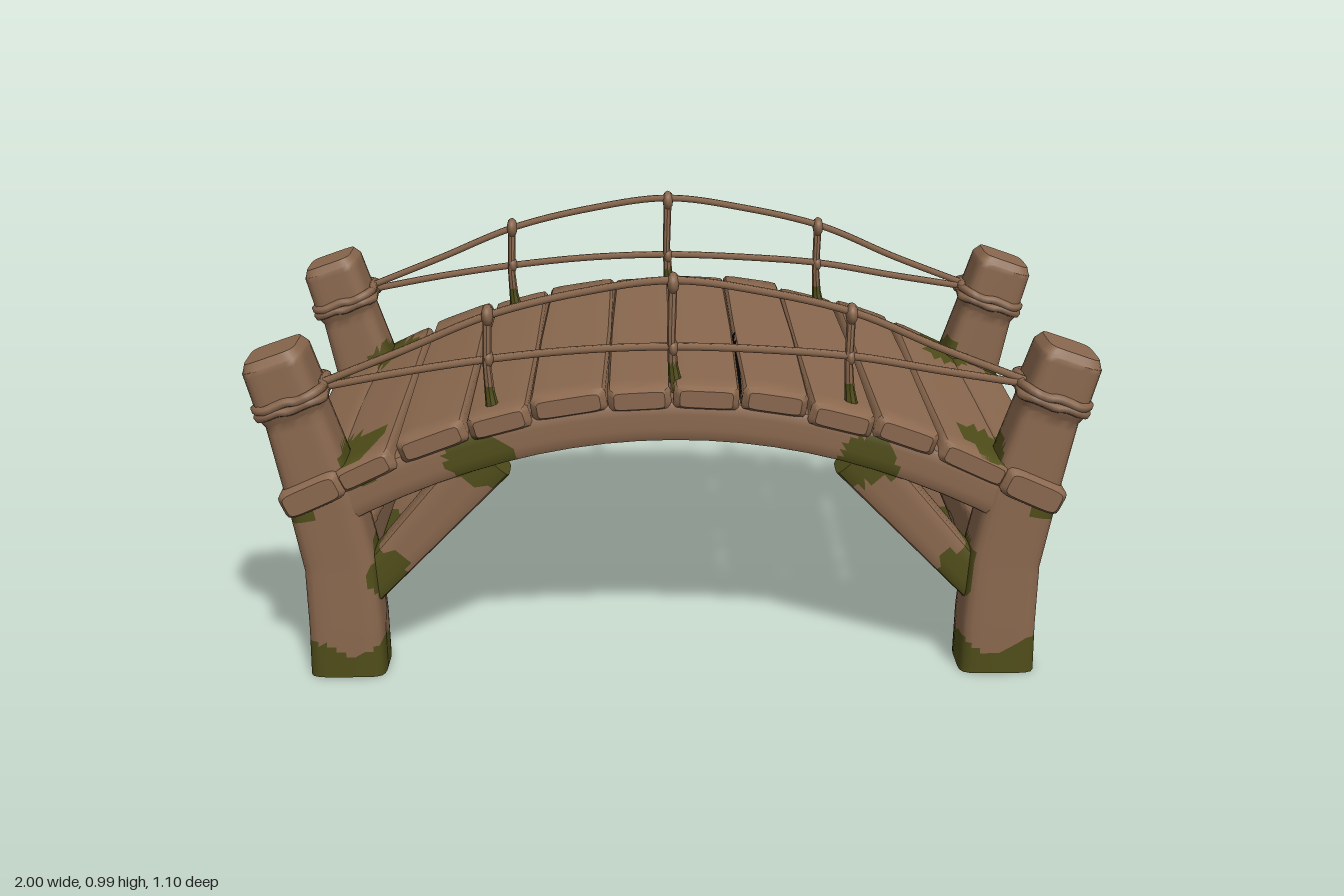
import * as THREE from 'three';
import { toCreasedNormals } from 'three/addons/utils/BufferGeometryUtils.js';

const wood = new THREE.MeshStandardMaterial({ color: 0x8a684e });
wood.name = 'brown wood';
const moss = new THREE.MeshStandardMaterial({ color: 0x504d1a });
moss.name = 'moss green';
const dark = new THREE.MeshStandardMaterial({ color: 0x020202 });
dark.name = 'dark hollow';

const deckY = (x) => 0.735 - 0.33 * x * x;
const V = (x, y, z) => new THREE.Vector3(x, y, z);
const Y = V(0, 1, 0), Z = V(0, 0, 1);

// Moss patches, mirrored in x and z: centre and radii
const patches = [
  [0.74, 0.525, 0.4, 0.1, 0.06, 0.12],
  [0.9, 0.485, 0.4, 0.06, 0.022, 0.11],
  [0.88, 0.42, 0.5, 0.05, 0.025, 0.03],
  [0.455, 0.55, 0.44, 0.095, 0.08, 0.12],
  [0.69, 0.255, 0.43, 0.07, 0.085, 0.1],
];
function surfaceColour(p) {
  const ax = Math.abs(p.x), az = Math.abs(p.z);
  if (p.y < 0.075 + 0.02 * Math.sin(ax * 30 + az * 25)) return 1;
  const edge = 1 + 0.2 * Math.sin(p.x * 45 + p.z * 30) * Math.cos(p.y * 50);
  for (const [x, y, z, a, b, c] of patches) {
    if (((ax - x) / a) ** 2 + ((p.y - y) / b) ** 2 + ((az - z) / c) ** 2 < edge) return 1;
  }
  return 0;
}

// Sorts triangles into material groups by a rule on their centres
function paint(geo, rule) {
  const pos = geo.attributes.position, buckets = [[], [], []], c = V(0, 0, 0), q = V(0, 0, 0);
  for (let i = 0; i < pos.count; i += 3) {
    c.set(0, 0, 0);
    for (let k = 0; k < 3; k++) c.add(q.fromBufferAttribute(pos, i + k));
    buckets[rule(c.divideScalar(3))].push(i, i + 1, i + 2);
  }
  geo.setIndex(buckets.flat());
  let start = 0;
  buckets.forEach((b, m) => {
    if (b.length) geo.addGroup(start, b.length, m);
    start += b.length;
  });
  return geo;
}

// Solid timber with a rounded square section. Rows: x, y, z, half width, half depth along ref
function timber(name, rows, ref, { steps = 5, n = 24, round = 6, rule = surfaceColour } = {}) {
  const path = [];
  rows.forEach((r, i) => {
    if (i === rows.length - 1) return path.push(r);
    for (let s = 0; s < steps; s++) path.push(r.map((v, k) => v + (rows[i + 1][k] - v) * s / steps));
  });
  const pts = path.map((r) => V(r[0], r[1], r[2])), verts = [], idx = [], last = path.length - 1;
  path.forEach((r, i) => {
    const d = pts[Math.min(i + 1, last)].clone().sub(pts[Math.max(i - 1, 0)]).normalize();
    const u = ref.clone().cross(d).normalize(), v = d.clone().cross(u);
    for (let j = 0; j < n; j++) {
      const s = j * 4 / n, t = (s % 1) * 2 - 1;
      const [a, b] = [[1, t], [-t, 1], [-1, -t], [t, -1]][Math.floor(s)];
      const k = (Math.abs(a) ** round + Math.abs(b) ** round) ** (-1 / round);
      verts.push(...pts[i].clone().addScaledVector(u, a * k * r[3]).addScaledVector(v, b * k * r[4]).toArray());
    }
  });
  const c0 = path.length * n, c1 = c0 + 1;
  verts.push(...pts[0].toArray(), ...pts[last].toArray());
  for (let j = 0; j < n; j++) {
    const j1 = (j + 1) % n;
    for (let i = 0; i < last; i++) {
      const a = i * n + j, b = i * n + j1;
      idx.push(a, b, b + n, a, b + n, a + n);
    }
    idx.push(c0, j1, j, c1, last * n + j, last * n + j1);
  }
  const geo = new THREE.BufferGeometry();
  geo.setAttribute('position', new THREE.Float32BufferAttribute(verts, 3));
  geo.setIndex(idx);
  const mesh = new THREE.Mesh(paint(toCreasedNormals(geo.toNonIndexed(), 0.7), rule), [wood, moss, dark]);
  mesh.name = name;
  return mesh;
}

function rope(name, points, segments, radius) {
  const geo = new THREE.TubeGeometry(new THREE.CatmullRomCurve3(points), segments, radius, 6);
  const mesh = new THREE.Mesh(geo, wood);
  mesh.name = name;
  return mesh;
}

export function createModel() {
  const bridge = new THREE.Group();
  bridge.name = 'wooden bridge';

  // Tight deck planks following the arch, uneven in height, one with a dark side
  const seams = [-0.8, -0.65, -0.48, -0.33, -0.15, 0, 0.155, 0.31, 0.465, 0.62, 0.8];
  const lift = [0, 0.004, -0.003, 0.003, -0.002, 0.002, 0.009, -0.003, 0.004, 0];
  lift.forEach((up, i) => {
    const x = (seams[i] + seams[i + 1]) / 2, w = (seams[i + 1] - seams[i]) / 2 + 0.003;
    const j = Math.sin(i * 7.3 + 1), L = 0.527 + 0.006 * j;
    const y = deckY(x) - 0.03 + up, skew = 0.004 * j;
    const darkSide = (p) => (p.x < 0.161 && p.z > 0.08 && p.z < 0.48 ? 2 : surfaceColour(p));
    bridge.add(timber('deckPlank', [
      [x - skew, y, -L, w - 0.019, 0.02], [x - skew, y, -L + 0.018, w - 0.004, 0.029],
      [x, y + 0.003 * j, 0, w, 0.03],
      [x + skew, y, L - 0.018, w - 0.004, 0.029], [x + skew, y, L, w - 0.019, 0.02],
    ], V(0.66 * x, 1, 0).normalize(), { round: 9, steps: 8, rule: i === 6 ? darkSide : surfaceColour }));
  });

  for (const sx of [-1, 1]) {
    // End plank across the posts
    bridge.add(timber('endPlank', [
      [sx * 0.848, 0.475, -0.545, 0.066, 0.027], [sx * 0.848, 0.478, -0.528, 0.077, 0.035],
      [sx * 0.848, 0.476, 0, 0.075, 0.033],
      [sx * 0.848, 0.475, 0.528, 0.077, 0.035], [sx * 0.848, 0.475, 0.545, 0.066, 0.027],
    ], V(sx * 0.45, 1, 0).normalize(), { steps: 18, n: 32 }));

    // Low cross bar joining the two posts, one with hollows and a mossy end
    const barRule = (p) => {
      if (p.x < 0) return 0;
      if (p.x > 0.82) {
        if (p.z > 0.15 && p.y > 0.18 && p.y < 0.205 + 0.05 * Math.sqrt((p.z - 0.15) / 0.21)) return 2;
        if (p.z > 0.02 && p.z < 0.31 && p.y > 0.268 && p.y < 0.303) return 2;
      }
      return p.z < -0.25 + 0.5 * (0.22 - p.y) ? 1 : 0;
    };
    bridge.add(timber('crossBar', [
      [sx * 0.8, 0.246, 0.42, 0.05, 0.081], [sx * 0.8, 0.221, -0.06, 0.048, 0.054],
      [sx * 0.8, 0.219, -0.42, 0.048, 0.052],
    ], Y, { steps: 36, n: 56, rule: barRule }));

    for (const sz of [-1, 1]) {
      const z = sz * 0.44;
      // Leaning post with a wider head; two of them have a dark notch under the end plank
      const postRule = (p) => {
        const az = Math.abs(p.z), notch = p.y > 0.4 && p.y < 0.435 && az > 0.38 && az < 0.47;
        return sx * sz < 0 && notch && Math.abs(p.x) > 0.85 ? 2 : surfaceColour(p);
      };
      bridge.add(timber('post', [
        [sx * 0.79, 0, z, 0.092, 0.08], [sx * 0.79, 0.12, z, 0.09, 0.08], [sx * 0.797, 0.28, z, 0.086, 0.077],
        [sx * 0.83, 0.45, z, 0.084, 0.078], [sx * 0.885, 0.655, z, 0.071, 0.074],
        [sx * 0.892, 0.675, z, 0.078, 0.083], [sx * 0.926, 0.787, z, 0.075, 0.081],
        [sx * 0.933, 0.807, z, 0.063, 0.069],
      ], Z, { steps: 9, n: 32, rule: postRule }));

      // Rope wound twice around the post head
      const loop = [];
      for (let i = 0; i <= 40; i++) {
        const a = i / 20 * Math.PI * 2, c = Math.cos(a), s = Math.sin(a);
        const k = (c ** 6 + s ** 6) ** (-1 / 6), rise = i * 0.0008 + 0.003 * Math.sin(i * 2.1);
        loop.push(V(sx * (0.889 + 0.3 * rise + 0.077 * c * k), 0.68 + rise - 0.022 * c * k, z + 0.084 * s * k));
      }
      bridge.add(rope('postRope', loop, 100, 0.012));

      // Diagonal brace, widening from post to arch
      bridge.add(timber('diagonalBrace', [
        [sx * 0.77, 0.18, z, 0.05, 0.043], [sx * 0.735, 0.217, z, 0.05, 0.045], [sx * 0.435, 0.547, z, 0.05, 0.064],
      ], Y, { steps: 18 }));
    }
  }

  for (const sz of [-1, 1]) {
    // Arched side beam
    const arch = [];
    for (let i = -10; i <= 10; i++) {
      const x = i * 0.082;
      arch.push([x, deckY(x) - 0.088, sz * 0.45, 0.062, 0.052]);
    }
    bridge.add(timber('archBeam', arch, Y, { steps: 5 }));

    // Rail stakes with mossy feet and knots
    const z = sz * 0.45, stakes = [[-0.43, 0.89, 0.785], [0, 0.965, 0.81], [0.415, 0.89, 0.785]];
    for (const [x, top, low] of stakes) {
      const foot = deckY(x) - 0.03;
      bridge.add(timber('railStake', [
        [x + 0.008, foot, z, 0.018, 0.018], [x, foot + 0.06, z, 0.012, 0.012],
        [x - 0.004, (foot + top) / 2, z + 0.006, 0.01, 0.011], [x, top + 0.02, z, 0.011, 0.012],
      ], Z, { n: 8, round: 2, steps: 4, rule: (p) => (p.y < foot + 0.07 ? 1 : 0) }));
      for (const [y, r] of [[top, 0.03], [low, 0.024]]) {
        const knot = new THREE.Mesh(new THREE.IcosahedronGeometry(r, 1), wood);
        knot.scale.set(0.5, 0.9, 0.9);
        knot.position.set(x, y, z);
        knot.name = 'ropeKnot';
        bridge.add(knot);
      }
    }

    // Two sagging hand ropes with a slight wobble
    const ropes = [
      ['upperRope', [0.97, 0.945, 0.89, 0.805, 0.722], 2],
      ['lowerRope', [0.812, 0.805, 0.785, 0.752, 0.715], 3],
    ];
    for (const [name, heights, phase] of ropes) {
      const pts = [];
      for (let i = -4; i <= 4; i++) {
        const k = Math.abs(i), wob = Math.sin(i * 2.7 + phase) * 0.006;
        pts.push(V([0, 0.21, 0.425, 0.63, 0.84][k] * Math.sign(i), heights[k] + wob * 0.5, z + wob));
      }
      bridge.add(rope(name, pts, 80, 0.0095));
    }
  }
  return bridge;
}
